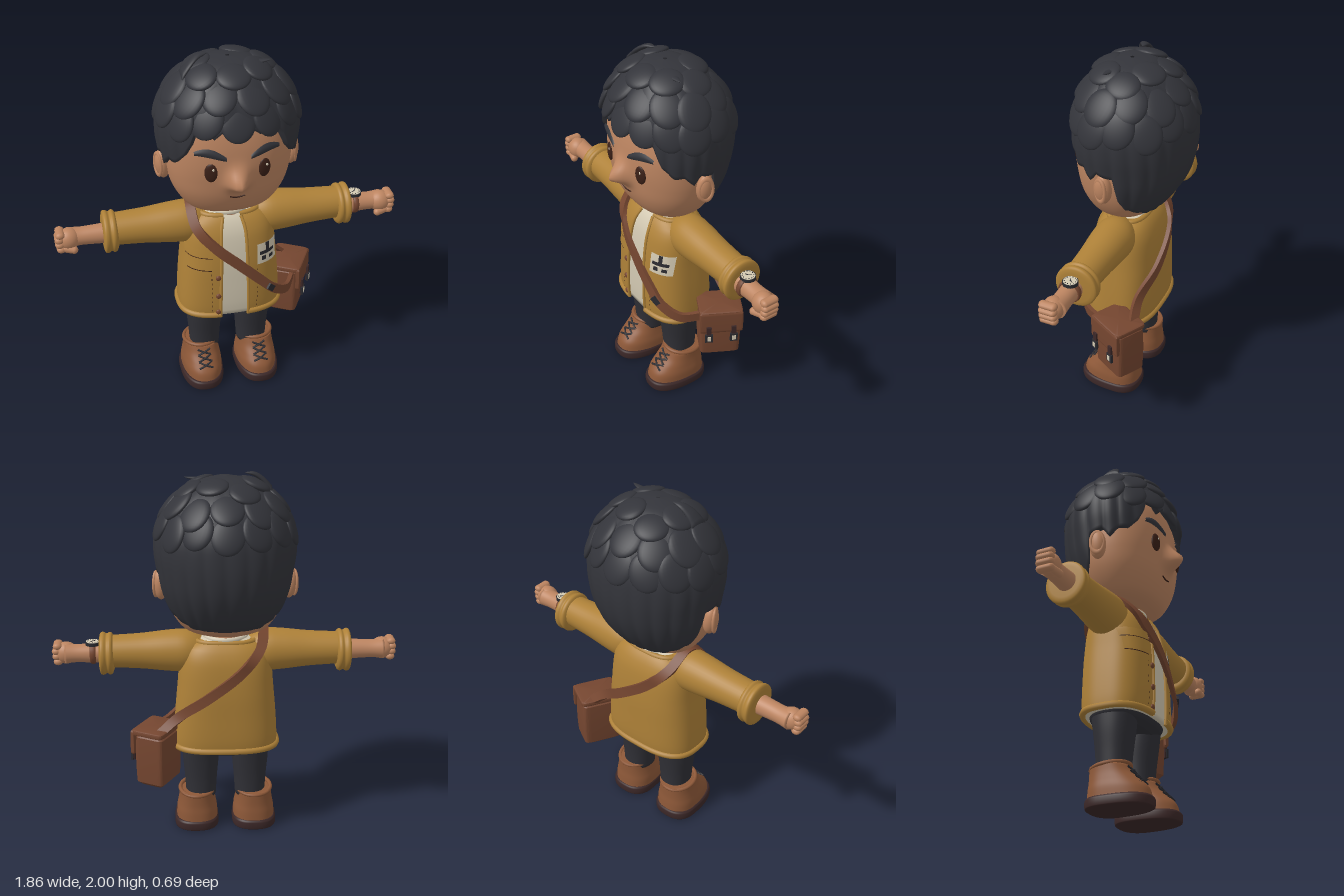
import * as THREE from 'three';
import { toCreasedNormals } from 'three/addons/utils/BufferGeometryUtils.js';

const V = (x, y, z) => new THREE.Vector3(x, y, z);
const mat = (name, color) => {
  const m = new THREE.MeshStandardMaterial({ color, side: THREE.DoubleSide });
  m.name = name;
  return m;
};

// Ring rows: [y, half width, front depth, back depth]; smooth interpolation over y
function sample(rings, y) {
  const n = rings.length;
  y = Math.min(Math.max(y, rings[0][0]), rings[n - 1][0]);
  let i = 0;
  while (i < n - 2 && y > rings[i + 1][0]) i++;
  const a = rings[i], b = rings[i + 1], p = rings[Math.max(i - 1, 0)], q = rings[Math.min(i + 2, n - 1)];
  const h = b[0] - a[0], t = (y - a[0]) / h, t2 = t * t, t3 = t2 * t;
  return [1, 2, 3].map((k) => {
    const ma = (b[k] - p[k]) / (b[0] - p[0]), mb = (q[k] - a[k]) / (q[0] - a[0]);
    return (2 * t3 - 3 * t2 + 1) * a[k] + (t3 - 2 * t2 + t) * h * ma + (3 * t2 - 2 * t3) * b[k] + (t3 - t2) * h * mb;
  });
}
// Point on a superellipse section; angle 0 faces +z and grows towards +x
function at(rings, y, a, e = 2.3, grow = 0) {
  const [rx, zf, zb] = sample(rings, y), s = Math.sin(a), c = Math.cos(a);
  const pw = (v) => Math.sign(v) * Math.abs(v) ** (2 / e);
  return V((rx + grow) * pw(s), y, ((c > 0 ? zf : zb) + grow) * pw(c));
}
function frontZ(rings, x, y, e = 2.3) {
  const [rx, zf] = sample(rings, y);
  return zf * Math.max(0, 1 - Math.abs(x / rx) ** e) ** (1 / e);
}
// Surface from a point rule, optionally wrapped round and capped
function grid(cols, rows, fn, wrap = false, cap = false) {
  const pos = [], idx = [], w = wrap ? cols : cols + 1;
  for (let j = 0; j <= rows; j++) for (let i = 0; i < w; i++) pos.push(...fn(i / cols, j / rows).toArray());
  for (let j = 0; j < rows; j++) for (let i = 0; i < cols; i++) {
    const a = j * w + i, b = j * w + (i + 1) % w;
    idx.push(a, b, b + w, a, b + w, a + w);
  }
  if (cap) for (const j of [0, rows]) {
    const c = V(0, 0, 0), k = pos.length / 3;
    for (let i = 0; i < w; i++) c.addScaledVector(fn(i / cols, j / rows), 1 / w);
    pos.push(...c.toArray());
    for (let i = 0; i < cols; i++) {
      const a = j * w + i, b = j * w + (i + 1) % w;
      j ? idx.push(a, b, k) : idx.push(b, a, k);
    }
  }
  const g = new THREE.BufferGeometry();
  g.setAttribute('position', new THREE.Float32BufferAttribute(pos, 3));
  g.setIndex(idx);
  g.computeVertexNormals();
  return g;
}
const loft = (rings, e = 2.3, rows = 24, cols = 48) => {
  const y0 = rings[0][0], y1 = rings[rings.length - 1][0];
  return grid(cols, rows, (u, v) => at(rings, y0 + (y1 - y0) * v, u * Math.PI * 2, e), true, true);
};
// Flat band following points, lying against the body
function ribbon(points, w, t) {
  const curve = new THREE.CatmullRomCurve3(points);
  return toCreasedNormals(grid(4, 90, (u, v) => {
    const p = curve.getPoint(v), T = curve.getTangent(v);
    const N = V(p.x * 0.5, Math.max(0, p.y - 1) * 3, p.z);
    N.addScaledVector(T, -N.dot(T)).normalize();
    const W = T.clone().cross(N), k = Math.round(u * 4) % 4;
    return p.addScaledVector(W, (k === 1 || k === 2 ? w : -w) / 2).addScaledVector(N, k < 2 ? t : -t);
  }, true, true), 0.7);
}

const HEAD = [[1.13, 0.08, 0.05, 0.06], [1.145, 0.14, 0.1, 0.1], [1.17, 0.205, 0.155, 0.14], [1.21, 0.25, 0.195, 0.175],
  [1.3, 0.3, 0.235, 0.225], [1.4, 0.325, 0.253, 0.26], [1.5, 0.332, 0.262, 0.28], [1.6, 0.33, 0.255, 0.28],
  [1.7, 0.31, 0.23, 0.26], [1.8, 0.25, 0.18, 0.2], [1.88, 0.15, 0.11, 0.12]];
const HAIR = [[1.2, 0.25, 0.16, 0.19], [1.3, 0.3, 0.2, 0.26], [1.4, 0.335, 0.245, 0.305], [1.5, 0.353, 0.268, 0.326],
  [1.6, 0.366, 0.276, 0.33], [1.7, 0.36, 0.266, 0.318], [1.8, 0.32, 0.238, 0.275], [1.88, 0.258, 0.195, 0.22],
  [1.94, 0.175, 0.14, 0.15], [1.97, 0.1, 0.08, 0.09], [1.982, 0.01, 0.01, 0.01]];
// Hairline height by angle in degrees from the front
const HEM = [[-180, 1.2], [-140, 1.21], [-110, 1.27], [-102, 1.34], [-98, 1.48], [-84, 1.5], [-76, 1.45], [-66, 1.5], [-55, 1.5],
  [-44, 1.56], [-38, 1.62], [-33, 1.71], [-24, 1.7], [-18, 1.66], [-11, 1.7], [-3, 1.73], [8, 1.71], [17, 1.665], [23, 1.69],
  [28, 1.72], [36, 1.66], [44, 1.56], [55, 1.5], [66, 1.5], [76, 1.45], [84, 1.5], [98, 1.48], [102, 1.34], [110, 1.27], [140, 1.21], [180, 1.2]];
const JACKET = [[0.5, 0.282, 0.19, 0.18], [0.57, 0.282, 0.196, 0.187], [0.7, 0.274, 0.196, 0.188], [0.85, 0.26, 0.19, 0.186],
  [1.0, 0.245, 0.168, 0.17], [1.07, 0.22, 0.14, 0.145], [1.11, 0.17, 0.11, 0.115], [1.125, 0.12, 0.09, 0.095]];
const BOOT = [[0.05, 0.115, 0.215, 0.12], [0.1, 0.113, 0.2, 0.117], [0.14, 0.106, 0.165, 0.113], [0.18, 0.1, 0.125, 0.112], [0.222, 0.097, 0.098, 0.112]];
const hemY = (deg) => {
  const k = Math.max(1, HEM.findIndex((h) => h[0] >= deg)), [a, b] = [HEM[k - 1], HEM[k]];
  return THREE.MathUtils.mapLinear(deg, a[0], b[0], a[1], b[1]);
};

export function createModel() {
  const root = new THREE.Group();
  const skin = mat('skin', 0xbd8561), hair = mat('hair', 0x33343a), cloth = mat('jacket', 0xae8138), cream = mat('cream', 0xd3c9b2),
    trousers = mat('trousers', 0x303036), leather = mat('boot leather', 0x8d5838), bagLeather = mat('bag leather', 0x754630),
    sole = mat('sole', 0x3c2828), eye = mat('eye', 0x3a2017), metal = mat('dark metal', 0x2b2b30);
  const add = (name, geo, m, p = [0, 0, 0], parent = root, s = [1, 1, 1], r = [0, 0, 0]) => {
    const o = new THREE.Mesh(geo, m);
    o.name = name;
    o.position.set(...p); o.scale.set(...s); o.rotation.set(...r);
    parent.add(o);
    return o;
  };
  const ball = new THREE.SphereGeometry(1, 24, 16);
  const tube = (pts, r, n = 24) => new THREE.TubeGeometry(new THREE.CatmullRomCurve3(pts), n, r, 8);
  const box = (x, y, z) => new THREE.BoxGeometry(x, y, z);
  // Plate following the jacket front
  const plate = (name, x0, x1, y0, y1, off, m) => add(name, grid(8, 8, (u, v) => {
    const x = x0 + (x1 - x0) * u, y = y0 + (y1 - y0) * v;
    return V(x, y, frontZ(JACKET, x, y, 2.8) + off);
  }), m);

  // Head with a soft raised nose
  const nose = (x, y) => 0.092 * Math.exp(-((x / 0.05) ** 2) - ((y - 1.405) / (y > 1.405 ? 0.07 : 0.045)) ** 2);
  add('head', grid(120, 70, (u, v) => {
    const p = at(HEAD, 1.13 + 0.75 * v, u * Math.PI * 2);
    if (p.z > 0) p.z += nose(p.x, p.y);
    return p;
  }, true, true), skin);
  add('neck', new THREE.CylinderGeometry(0.1, 0.11, 0.14, 32), skin, [0, 1.11, 0]);
  add('mouth', tube([-0.04, -0.02, 0, 0.02, 0.04].map((x) => V(x, 1.305 + 5 * x * x, frontZ(HEAD, x, 1.305) + nose(x, 1.305) + 0.002)), 0.004), eye);
  for (const s of [-1, 1]) {
    add('eye', ball, eye, [s * 0.137, 1.468, frontZ(HEAD, 0.137, 1.468) + 0.001], root, [0.033, 0.052, 0.012], [0, s * 0.28, 0]);
    add('eyeGlint', ball, cream, [s * 0.137 + 0.01, 1.49, frontZ(HEAD, 0.137, 1.49) + 0.012], root, [0.006, 0.008, 0.003]);
    add('eyebrow', grid(16, 4, (u, v) => {
      const x = s * (0.062 + 0.155 * u), y = 1.548 + 0.035 * Math.sin(u * 2.3) + (v - 0.5) * 0.046 * Math.sin(0.5 + u * 2.2);
      return V(x, y, frontZ(HEAD, x, y) + 0.009 + 0.008 * Math.sin(v * Math.PI));
    }), hair);
    add('ear', ball, skin, [s * 0.343, 1.41, 0.002], root, [0.038, 0.082, 0.046], [0, 0, -s * 0.08]);
    add('earRim', new THREE.TorusGeometry(0.034, 0.009, 8, 24), skin, [s * 0.365, 1.412, 0.008], root, [1, 1.75, 1], [0, s * 1.2, 0]);
  }

  // Hair shell with a jagged hairline and ridged strands
  add('hair', grid(180, 37, (u, v) => {
    const deg = u * 360 - 180, a = deg * Math.PI / 180, t = Math.max(0, (v * 37 - 1) / 36), hem = hemY(deg);
    const p = at(HAIR, hem + (1.982 - hem) * Math.sin(t * Math.PI / 2), a, 2.1);
    const k = (1 + 0.03 * Math.abs(Math.sin(a * 11 + t)) * (1 - t)) * (v === 0 ? 0.87 : 1);
    return V(p.x * k, p.y, p.z * k);
  }, true), hair);
  const tufts = new THREE.Group();
  tufts.name = 'hairTufts';
  root.add(tufts);
  [[1.93, 7, 0.08], [1.84, 11, 0.1], [1.74, 14, 0.1]].forEach(([y, n, h], row) => {
    for (let i = 0; i < n; i++) {
      const p = at(HAIR, y + 0.015 * Math.sin(i * 2.7), (i + row * 0.5) / n * Math.PI * 2, 2.1, -0.012);
      const d = p.clone().sub(V(0, 1.6, -0.02));
      const o = add('hairTuft', ball, hair, p.toArray(), tufts, [0.088, h, 0.026]);
      o.lookAt(p.clone().add(d));
      o.rotateZ(0.25 * Math.sin(i * 1.9));
    }
  });
  const lick = (pts, r) => add('cowlick', grid(12, 12, (u, v) => {
    const p = new THREE.CatmullRomCurve3(pts).getPoint(v), q = r * (1 - v) ** 0.7 + 0.001;
    return p.add(V(0, Math.sin(u * Math.PI * 2) * q * 0.5, Math.cos(u * Math.PI * 2) * q));
  }, true, true), hair, [0, 0, 0], tufts);
  lick([V(-0.24, 1.9, 0.02), V(-0.2, 1.95, 0.015), V(-0.15, 1.988, 0), V(-0.1, 1.998, -0.01)], 0.05);
  lick([V(0.08, 1.94, 0.05), V(0.14, 1.955, 0.05), V(0.21, 1.965, 0.06)], 0.035);

  // Shirt and open jacket
  add('shirt', loft(JACKET.map(([y, x, f, b]) => [y + 0.005, x - 0.012, f - 0.01, b - 0.01]), 2.8), cream);
  add('shirtCollar', new THREE.TorusGeometry(0.108, 0.016, 10, 40), cream, [0, 1.125, 0], root, [1, 0.9, 1], [Math.PI / 2, 0, 0]);
  const gap = 0.165, round = (v) => gap + (Math.PI * 2 - gap * 2) * v;
  add('jacket', grid(80, 30, (u, v) => at(JACKET, 0.5 + 0.62 * v, round(u), 2.8)), cloth);
  const around = (y, n, grow) => Array.from({ length: n + 1 }, (_, i) => at(JACKET, y, round(i / n), 2.8, grow));
  add('jacketHem', tube(around(0.515, 60, -0.002), 0.018, 120), cloth);
  add('jacketCollar', tube(around(1.11, 40, -0.01), 0.014, 80), cloth);
  for (const s of [-1, 1]) {
    const edge = (a) => Array.from({ length: 12 }, (_, i) => at(JACKET, 0.5 + 0.055 * i, s * a, 2.8));
    add('jacketEdge', tube(edge(gap), 0.009), cloth);
    for (let i = 0; i < 9; i++) plate('stitch', s * 0.124, s * 0.127, 0.545 + i * 0.03, 0.557 + i * 0.03, 0.003, eye);
  }
  for (const y of [0.54, 0.65, 0.77, 0.925])
    add('button', ball, bagLeather, [-0.09, y, frontZ(JACKET, 0.09, y, 2.8) + 0.004], root, [0.016, 0.016, 0.009]);
  // Chest pocket and patch
  plate('pocket', -0.245, -0.125, 0.82, 0.93, 0.007, cloth);
  plate('pocketFlap', -0.25, -0.12, 0.9, 0.95, 0.013, cloth);
  plate('pocketSeam', -0.245, -0.125, 0.818, 0.823, 0.009, eye);
  plate('pocketFlapSeam', -0.25, -0.12, 0.898, 0.902, 0.015, eye);
  plate('patch', 0.125, 0.24, 0.825, 0.945, 0.007, cream);
  for (const [x, y, w, h] of [[0.175, 0.89, 0.02, 0.055], [0.14, 0.88, 0.085, 0.02], [0.15, 0.845, 0.025, 0.025], [0.195, 0.845, 0.025, 0.02]])
    plate('patchMark', x, x + w, y, y + h, 0.01, metal);

  // Arms, legs and boots, mirrored
  for (const s of [1, -1]) {
    const side = new THREE.Group();
    side.name = s > 0 ? 'leftLimbs' : 'rightLimbs';
    side.scale.x = s;
    root.add(side);
    const limb = (name, rings, m, y, z = 0) => add(name, loft(rings, 2, 20, 36), m, [0, y, z], side, [1, 1, 1], [0, 0, -Math.PI / 2]);
    limb('sleeve', [[0.1, 0.06, 0.06, 0.06], [0.15, 0.095, 0.09, 0.09], [0.21, 0.115, 0.108, 0.11], [0.3, 0.112, 0.108, 0.108], [0.45, 0.096, 0.096, 0.096], [0.63, 0.086, 0.088, 0.088]], cloth, 1.042);
    limb('cuff', [[0.598, 0.088, 0.088, 0.088], [0.606, 0.108, 0.106, 0.106], [0.622, 0.115, 0.112, 0.112], [0.636, 0.107, 0.105, 0.105], [0.652, 0.116, 0.112, 0.112], [0.67, 0.11, 0.108, 0.108], [0.676, 0.085, 0.085, 0.085]], cloth, 1.03);
    limb('forearm', [[0.64, 0.056, 0.055, 0.055], [0.74, 0.051, 0.05, 0.05], [0.8, 0.049, 0.05, 0.05], [0.86, 0.055, 0.055, 0.055]], skin, 1.03, 0.01);
    add('palm', ball, skin, [0.855, 1.03, 0.022], side, [0.062, 0.06, 0.056]);
    for (let i = 0; i < 4; i++)
      add('finger', new THREE.CapsuleGeometry(0.019, 0.06, 6, 12), skin, [0.908 - 0.006 * Math.abs(i - 1.6), 0.987 + i * 0.029, 0.026], side, [1.3, 1, 1], [Math.PI / 2, 0, 0]);
    add('thumb', new THREE.CapsuleGeometry(0.021, 0.045, 6, 12), skin, [0.855, 0.985, 0.058], side, [1, 1, 1], [0, 0.25, Math.PI / 2 + 0.15]);
    add('trouserLeg', loft([[0.19, 0.083, 0.085, 0.09], [0.3, 0.09, 0.095, 0.095], [0.42, 0.1, 0.112, 0.108], [0.53, 0.104, 0.125, 0.125]], 2.2), trousers, [0.137, 0, 0], side);
    add('boot', loft(BOOT, 2.3), leather, [0.16, 0, 0], side);
    add('bootCollar', new THREE.TorusGeometry(0.094, 0.011, 10, 36), leather, [0.16, 0.222, -0.006], side, [1, 1.08, 1], [Math.PI / 2 - 0.12, 0, 0]);
    add('bootSole', loft([[0, 0.112, 0.215, 0.118], [0.006, 0.122, 0.224, 0.126], [0.045, 0.122, 0.226, 0.128], [0.057, 0.114, 0.218, 0.12]], 2.5), sole, [0.162, 0, 0], side);
    for (let i = 0; i < 3; i++) for (const d of [-1, 1]) {
      const y = 0.125 + i * 0.028;
      add('bootLace', tube([-1, 0, 1].map((k) => at(BOOT, y + 0.014 + d * k * 0.014, k * 0.3, 2.3, 0.005)), 0.0055, 10), metal, [0.16, 0, 0], side);
    }
  }
  add('hips', loft([[0.46, 0.19, 0.11, 0.11], [0.485, 0.235, 0.15, 0.15], [0.53, 0.25, 0.175, 0.165]], 2.4), trousers);

  // Watch on the left wrist
  const watch = new THREE.Group();
  watch.name = 'watch';
  watch.position.set(0.71, 1.088, 0.005);
  root.add(watch);
  const disc = (r, h) => new THREE.CylinderGeometry(r, r, h, 28);
  add('watchCase', disc(0.04, 0.018), metal, [0, 0, 0], watch);
  add('watchDial', disc(0.036, 0.004), cream, [0, 0.009, 0], watch);
  add('watchBand', new THREE.TorusGeometry(0.054, 0.008, 8, 32), bagLeather, [0, -0.056, 0.005], watch, [1, 1, 2], [0, Math.PI / 2, 0]);
  for (let i = 0; i < 12; i++) add('hourMark', box(0.004, 0.002, 0.004), metal, [0.029 * Math.sin(i * Math.PI / 6), 0.012, 0.029 * Math.cos(i * Math.PI / 6)], watch);
  add('watchHand', box(0.004, 0.002, 0.022), metal, [0.005, 0.012, -0.007], watch, [1, 1, 1], [0, -0.6, 0]);
  add('watchHand', box(0.016, 0.002, 0.004), metal, [-0.006, 0.012, 0.003], watch, [1, 1, 1], [0, 0.4, 0]);

  // Shoulder strap and satchel
  add('strap', ribbon([V(0.36, 0.62, -0.17), V(0.26, 0.71, -0.155), V(0.1, 0.83, -0.195), V(-0.08, 0.97, -0.185), V(-0.18, 1.08, -0.125), V(-0.205, 1.163, 0),
    V(-0.195, 1.07, 0.13), V(-0.1, 0.96, 0.188), V(0.02, 0.85, 0.205), V(0.14, 0.73, 0.2), V(0.22, 0.65, 0.185), V(0.31, 0.59, 0.12), V(0.37, 0.595, 0.02)], 0.052, 0.011), bagLeather);
  add('strapBuckle', box(0.05, 0.035, 0.012), metal, [0.2, 0.67, 0.205], root, [1, 1, 1], [0, 0.5, -0.75]);
  const bag = new THREE.Group();
  bag.name = 'satchel';
  bag.position.set(0.378, 0, -0.093);
  bag.rotation.y = 1.06;
  root.add(bag);
  const block = (name, w, h, d, r, p) => {
    const c = [[0, w / 2 - r, d / 2 - r, d / 2 - r], [r * 0.4, w / 2, d / 2, d / 2], [h - r * 0.4, w / 2, d / 2, d / 2], [h, w / 2 - r, d / 2 - r, d / 2 - r]];
    return add(name, toCreasedNormals(loft(c, 9, 16, 48), 0.6), bagLeather, p, bag);
  };
  block('satchelBody', 0.215, 0.3, 0.165, 0.018, [0, 0.32, -0.008]);
  block('satchelLid', 0.235, 0.03, 0.19, 0.008, [0, 0.613, 0]);
  block('satchelFlap', 0.235, 0.14, 0.024, 0.006, [0, 0.5, 0.086]);
  for (const x of [-0.068, 0.068]) {
    add('buckleStrap', box(0.026, 0.1, 0.014), sole, [x, 0.5, 0.103], bag);
    add('buckle', box(0.042, 0.05, 0.012), metal, [x, 0.475, 0.108], bag);
    add('bucklePlate', box(0.02, 0.03, 0.008), cream, [x, 0.475, 0.113], bag);
  }
  return root;
}
